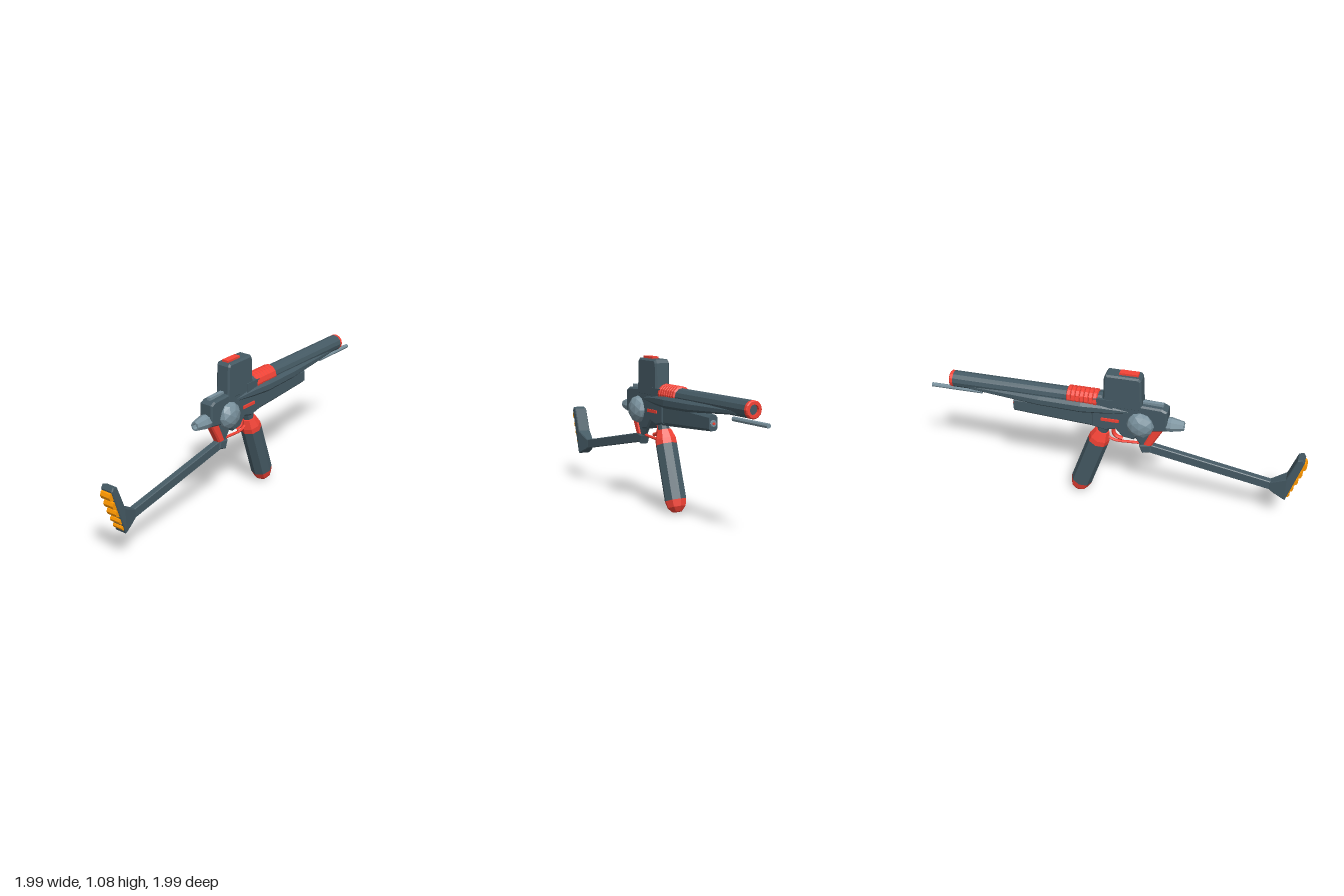
import * as THREE from 'three';

const paint = (color) => new THREE.MeshStandardMaterial({ color, flatShading: true });
const DARK = paint(0x455a64), STEEL = paint(0x78909c), RED = paint(0xf44336), ORANGE = paint(0xff9800);

export function createModel() {
  const model = new THREE.Group();
  const gun = new THREE.Group(); // built along +x, then turned to the diagonal
  gun.name = 'launcher';
  gun.rotation.y = Math.PI / 4;
  model.add(gun);

  const add = (name, geometry, material, x = 0, y = 0, z = 0, parent = gun) => {
    const mesh = new THREE.Mesh(geometry, material);
    mesh.name = name;
    mesh.position.set(x, y, z);
    parent.add(mesh);
    return mesh;
  };
  const box = (name, w, h, d, material, x, y, z = 0) =>
    add(name, new THREE.BoxGeometry(w, h, d), material, x, y, z);

  // Side profile extruded symmetrically about z = 0, with chamfered edges
  const slab = (points, half, bevel = 0.012) => {
    const shape = new THREE.Shape(points.map(([x, y]) => new THREE.Vector2(x, y)));
    const depth = 2 * (half - bevel);
    return new THREE.ExtrudeGeometry(shape, {
      depth, bevelThickness: bevel, bevelSize: bevel, bevelOffset: -bevel, bevelSegments: 1,
    }).translate(0, 0, -depth / 2);
  };
  // Profile [radius, distance] turned around the x axis
  const turned = (profile, sides) => new THREE.LatheGeometry(
    profile.map(([r, t]) => new THREE.Vector2(r, t)), sides).rotateZ(-Math.PI / 2);
  // Chamfered box sections [x, half width, bottom, top] joined along x
  const loft = (sections) => {
    const pos = [], index = [];
    for (const [x, w, b, t] of sections) {
      const c = Math.min(w, (t - b) / 2) * 0.5;
      for (const [y, z] of [[t, -w + c], [t, w - c], [t - c, w], [b + c, w],
        [b, w - c], [b, -w + c], [b + c, -w], [t - c, -w]]) pos.push(x, y, z);
    }
    const last = (sections.length - 1) * 8;
    for (let s = 0; s < last; s += 8) {
      for (let j = 0; j < 8; j++) {
        const a = s + j, n = s + (j + 1) % 8;
        index.push(a, n, n + 8, a, n + 8, a + 8);
      }
    }
    for (let j = 1; j < 7; j++) index.push(0, j + 1, j, last, last + j, last + j + 1);
    const g = new THREE.BufferGeometry();
    g.setAttribute('position', new THREE.Float32BufferAttribute(pos, 3));
    g.setIndex(index);
    g.computeVertexNormals();
    return g;
  };

  // Receiver, hopper and top details
  add('receiver', slab([[-0.37, 0.66], [-0.2, 0.63], [-0.13, 0.55], [-0.05, 0.56], [0.0, 0.62], [0.08, 0.6],
    [0.18, 0.62], [0.18, 0.8], [-0.1, 0.85], [-0.33, 0.84], [-0.37, 0.82]], 0.055), DARK);
  add('hopper', slab([[-0.19, 0.8], [0.095, 0.8], [0.085, 1.04], [0.07, 1.065], [-0.165, 1.065],
    [-0.18, 1.045]], 0.057), DARK);
  box('hopperLid', 0.135, 0.03, 0.05, RED, -0.087, 1.065);
  box('rearRail', 0.17, 0.03, 0.03, STEEL, -0.25, 0.846);
  box('barrelMount', 0.14, 0.07, 0.125, DARK, 0.09, 0.83);

  // Side domes and red side strips
  for (const side of [-1, 1]) {
    add('sideDome', new THREE.IcosahedronGeometry(0.1, 1), STEEL, -0.18, 0.69, side * 0.055)
      .scale.z = 0.65;
    box('sideStrip', 0.13, 0.022, 0.012, RED, 0.04, 0.697, side * 0.058);
  }

  // Rear cap
  add('rearCap', turned([[0, 0.03], [0.018, 0.03], [0.022, 0], [0.034, 0], [0.04, 0.03], [0.053, 0.09],
    [0.053, 0.19], [0.035, 0.28], [0, 0.28]], 8), STEEL, -0.485, 0.695);

  // Barrel, muzzle and coil
  add('barrel', turned([[0, 0.1], [0.058, 0.1], [0.06, 1.22], [0, 1.22]], 12), DARK, 0, 0.828);
  add('muzzleRing', turned([[0.06, 1.215], [0.06, 1.235], [0.054, 1.242], [0.034, 1.242],
    [0.034, 1.222]], 12), RED, 0, 0.828);
  for (let i = 0; i < 7; i++) {
    add('coilRing', turned([[0.056, -0.018], [0.07, -0.011], [0.07, 0.011], [0.056, 0.018]], 12),
      RED, 0.15 + i * 0.032, 0.83);
  }
  add('handguard', loft([[-0.1, 0.055, 0.765, 0.79], [0.1, 0.075, 0.745, 0.815], [0.25, 0.09, 0.738, 0.82],
    [0.56, 0.085, 0.745, 0.82], [1.1, 0.052, 0.785, 0.815]]), DARK);
  add('foreBody', loft([[0.05, 0.05, 0.6, 0.77], [0.4, 0.045, 0.618, 0.765], [0.765, 0.034, 0.638, 0.745]]), DARK);
  add('foreBodyEnd', turned([[0.026, 0], [0.022, 0.008], [0, 0.008]], 8), STEEL, 0.764, 0.688);
  add('foreBodyScrew', turned([[0.012, 0], [0.01, 0.014], [0, 0.014]], 6), RED, 0.764, 0.688);
  add('frontRod', turned([[0, 1.01], [0.016, 1.01], [0.016, 1.398], [0, 1.398]], 8), STEEL, 0, 0.747);

  // Tank handle, turned along its own slanted axis
  const tank = new THREE.Group();
  tank.name = 'tankHandle';
  tank.position.set(0.1, 0.59, 0);
  tank.rotation.z = -Math.atan2(0.945, 0.327);
  gun.add(tank);
  const tankPart = (name, profile, material) => add(name, turned(profile, 8), material, 0, 0, 0, tank);
  tankPart('tankNeck', [[0, -0.08], [0.045, -0.08], [0.04, 0.05]], DARK);
  tankPart('tankCollar', [[0, 0.025], [0.052, 0.025], [0.076, 0.09], [0.078, 0.13]], RED);
  tankPart('tankBody', [[0.078, 0.13], [0.079, 0.53]], DARK);
  tankPart('tankTip', [[0.079, 0.53], [0.066, 0.58], [0.034, 0.614], [0, 0.614]], RED);

  // Rear grip, trigger and guard
  add('rearGrip', slab([[-0.345, 0.655], [-0.265, 0.655], [-0.195, 0.5], [-0.25, 0.485]], 0.032), RED);
  add('gripWeb', slab([[-0.28, 0.66], [-0.1, 0.62], [-0.13, 0.55], [-0.18, 0.48], [-0.23, 0.48]], 0.022), DARK);
  const tube = (name, points, r, material) => add(name, new THREE.TubeGeometry(
    new THREE.CatmullRomCurve3(points.map(([x, y]) => new THREE.Vector3(x, y, 0))), 12, r, 6), material);
  tube('triggerGuard', [[-0.2, 0.5], [-0.1, 0.493], [0.03, 0.493], [0.08, 0.53], [0.1, 0.6]], 0.01, RED);
  tube('trigger', [[0.02, 0.61], [0.03, 0.57], [0.01, 0.53], [-0.04, 0.515]], 0.015, RED);

  // Stock: hinge block, bar and butt narrowing towards the bar
  add('stockHinge', slab([[-0.26, 0.45], [-0.19, 0.43], [-0.165, 0.495], [-0.25, 0.51]], 0.035, 0.008), DARK);
  add('stockBar', slab([[-1.15, 0.265], [-0.2, 0.445], [-0.2, 0.5], [-0.25, 0.505], [-1.15, 0.335]], 0.024, 0.005), DARK);
  const butt = slab([[-1.235, 0.215], [-1.15, 0.252], [-1.115, 0.275], [-1.115, 0.335], [-1.23, 0.4],
    [-1.295, 0.575], [-1.33, 0.587], [-1.345, 0.56]], 0.05, 0.006);
  const p = butt.attributes.position;
  for (let i = 0; i < p.count; i++) {
    const k = THREE.MathUtils.clamp((p.getX(i) + 1.23) / 0.115, 0, 1);
    p.setZ(i, p.getZ(i) * (1 - 0.5 * k));
  }
  butt.computeVertexNormals();
  add('stockButt', butt, DARK);

  // Cushion ridges down the back of the butt
  [[0.52, 0.034], [0.45, 0.032], [0.383, 0.029], [0.318, 0.023], [0.262, 0.019]].forEach(([y, r]) => {
    const x = -1.235 - (y - 0.215) * 0.32;
    add('buttRidge', new THREE.CylinderGeometry(r, r, 0.082, 8).rotateX(Math.PI / 2), ORANGE, x + 0.004, y);
  });
  return model;
}
